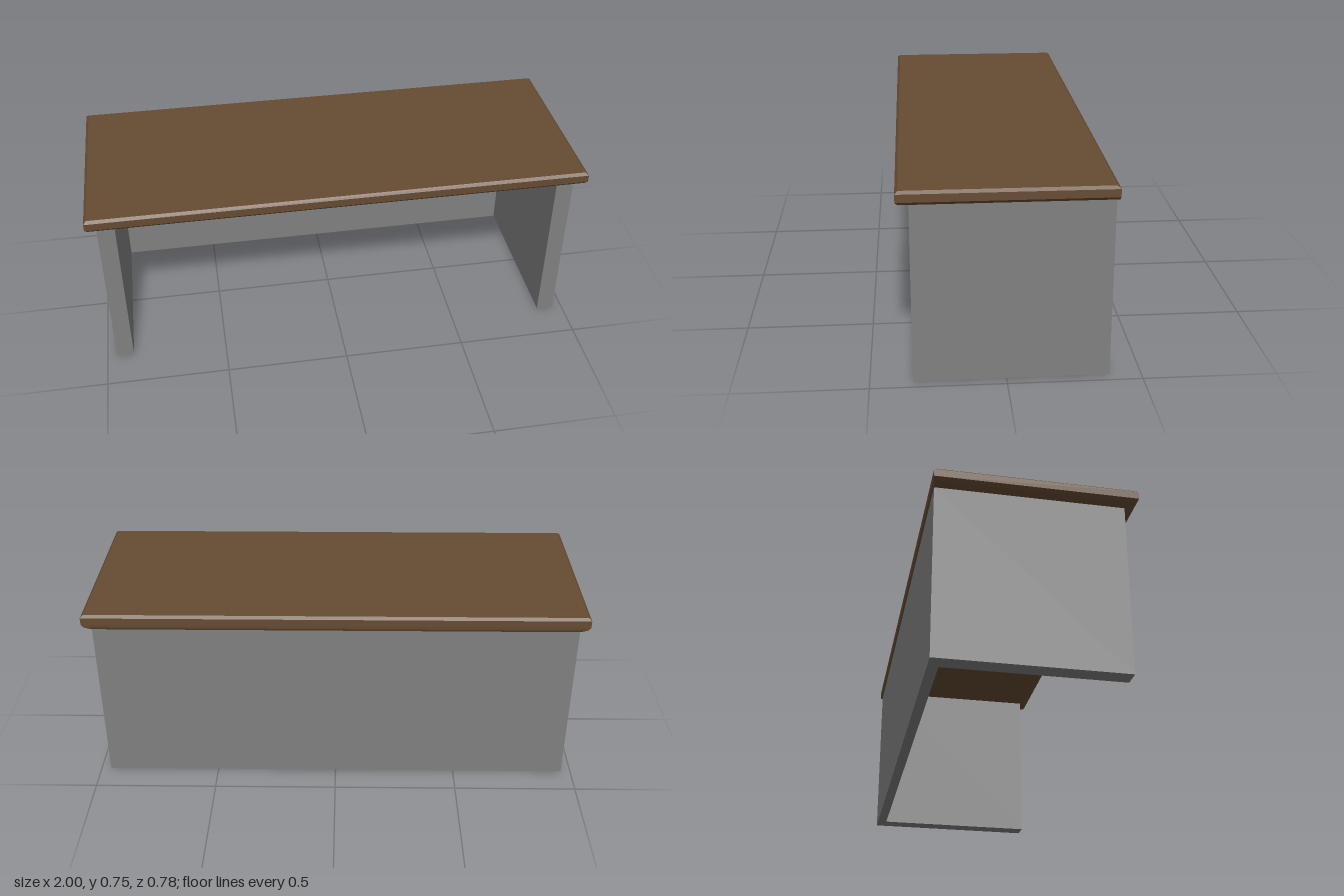
import * as THREE from 'three';

const wood = new THREE.MeshStandardMaterial({ color: 0x664b32 });
wood.name = 'brown wood';
const grey = new THREE.MeshStandardMaterial({ color: 0x808080 });
grey.name = 'grey panel';

// Stacks rectangular loops [y, halfWidth, zBack, zFront] from bottom to top, with flat end caps
function rectLoft(levels) {
  const rings = levels.map(([y, w, b, f]) => [[-w, y, f], [w, y, f], [w, y, b], [-w, y, b]]);
  const pos = [];
  const quad = (a, b, c, d) => pos.push(...a, ...b, ...c, ...a, ...c, ...d);
  for (let i = 0; i < rings.length - 1; i++) {
    const lo = rings[i], hi = rings[i + 1];
    for (let k = 0; k < 4; k++) {
      const n = (k + 1) % 4;
      quad(lo[k], lo[n], hi[n], hi[k]);
    }
  }
  const first = rings[0], last = rings[rings.length - 1];
  quad(...last);
  quad(first[3], first[2], first[1], first[0]);
  const g = new THREE.BufferGeometry();
  g.setAttribute('position', new THREE.Float32BufferAttribute(pos, 3));
  g.computeVertexNormals();
  return g;
}

export function createModel() {
  const desk = new THREE.Group();
  desk.name = 'desk';

  // Desktop with bevelled edges and a deeper undercut at the front and sides
  const top = new THREE.Mesh(rectLoft([
    [0.693, 0.96, -0.382, 0.342],
    [0.703, 0.989, -0.387, 0.377],
    [0.715, 1, -0.388, 0.388],
    [0.745, 1, -0.388, 0.388],
    [0.755, 0.989, -0.377, 0.377],
  ]), wood);
  top.name = 'desktop';
  desk.add(top);

  // U-shaped base: two sides and a back, open at the front
  const W = 0.96, back = -0.382, front = 0.342, side = 0.07, thick = 0.04, height = 0.693;
  const base = new THREE.Shape([
    [-W, back], [W, back], [W, front], [W - side, front],
    [W - side, back + thick], [-W + side, back + thick], [-W + side, front], [-W, front],
  ].map(([x, z]) => new THREE.Vector2(x, -z)));
  const baseGeometry = new THREE.ExtrudeGeometry(base, { depth: height, bevelEnabled: false });
  baseGeometry.rotateX(-Math.PI / 2);
  const panels = new THREE.Mesh(baseGeometry, grey);
  panels.name = 'basePanels';
  desk.add(panels);

  return desk;
}
